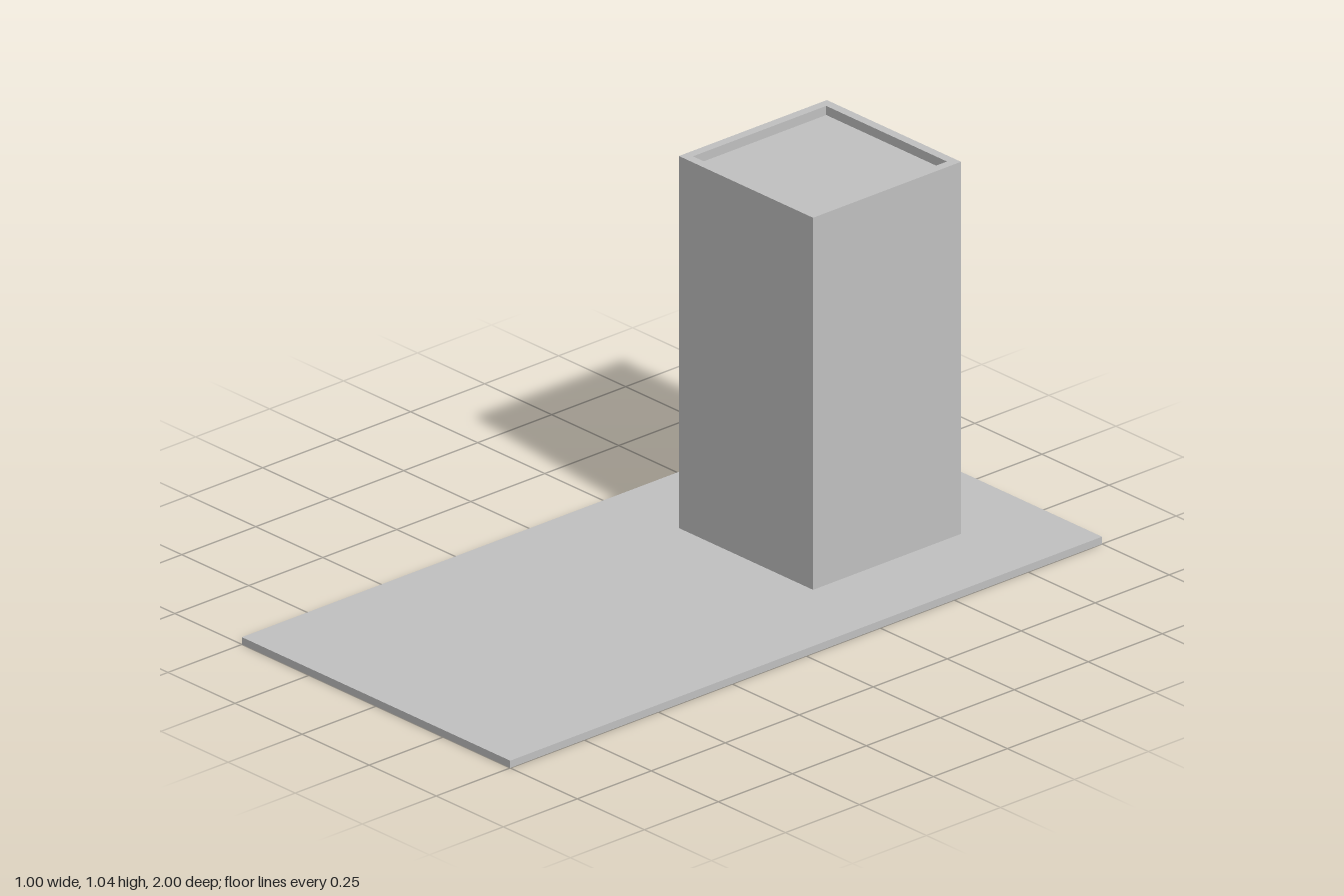
import * as THREE from 'three';

export function createModel() {
  const model = new THREE.Group();
  const grey = new THREE.MeshStandardMaterial({ color: 0xc0c0c0 });
  grey.name = 'light grey';

  const add = (name, geometry, x, y, z) => {
    const mesh = new THREE.Mesh(geometry, grey);
    mesh.name = name;
    mesh.position.set(x, y, z);
    model.add(mesh);
  };
  // Box standing on height y0 and reaching y1
  const block = (name, w, d, y0, y1, z) =>
    add(name, new THREE.BoxGeometry(w, y1 - y0, d), 0, (y0 + y1) / 2, z);

  const towerZ = -0.5, side = 0.5, wall = 0.025;

  // Ground slab and the two storeys of the tower
  block('baseSlab', 1, 2, 0, 0.02, 0);
  block('lowerStorey', side, side, 0.02, 0.4, towerZ);
  block('upperStorey', side, side, 0.4, 1.02, towerZ);

  // Parapet: a square ring around the sunken flat roof
  const square = (Type, h) => new Type([
    new THREE.Vector2(-h, -h), new THREE.Vector2(h, -h),
    new THREE.Vector2(h, h), new THREE.Vector2(-h, h),
  ]);
  const ring = square(THREE.Shape, side / 2);
  ring.holes.push(square(THREE.Path, side / 2 - wall));
  const parapet = new THREE.ExtrudeGeometry(ring, { depth: 0.025, bevelEnabled: false });
  parapet.rotateX(-Math.PI / 2);
  add('roofParapet', parapet, 0, 1.02, towerZ);

  return model;
}
